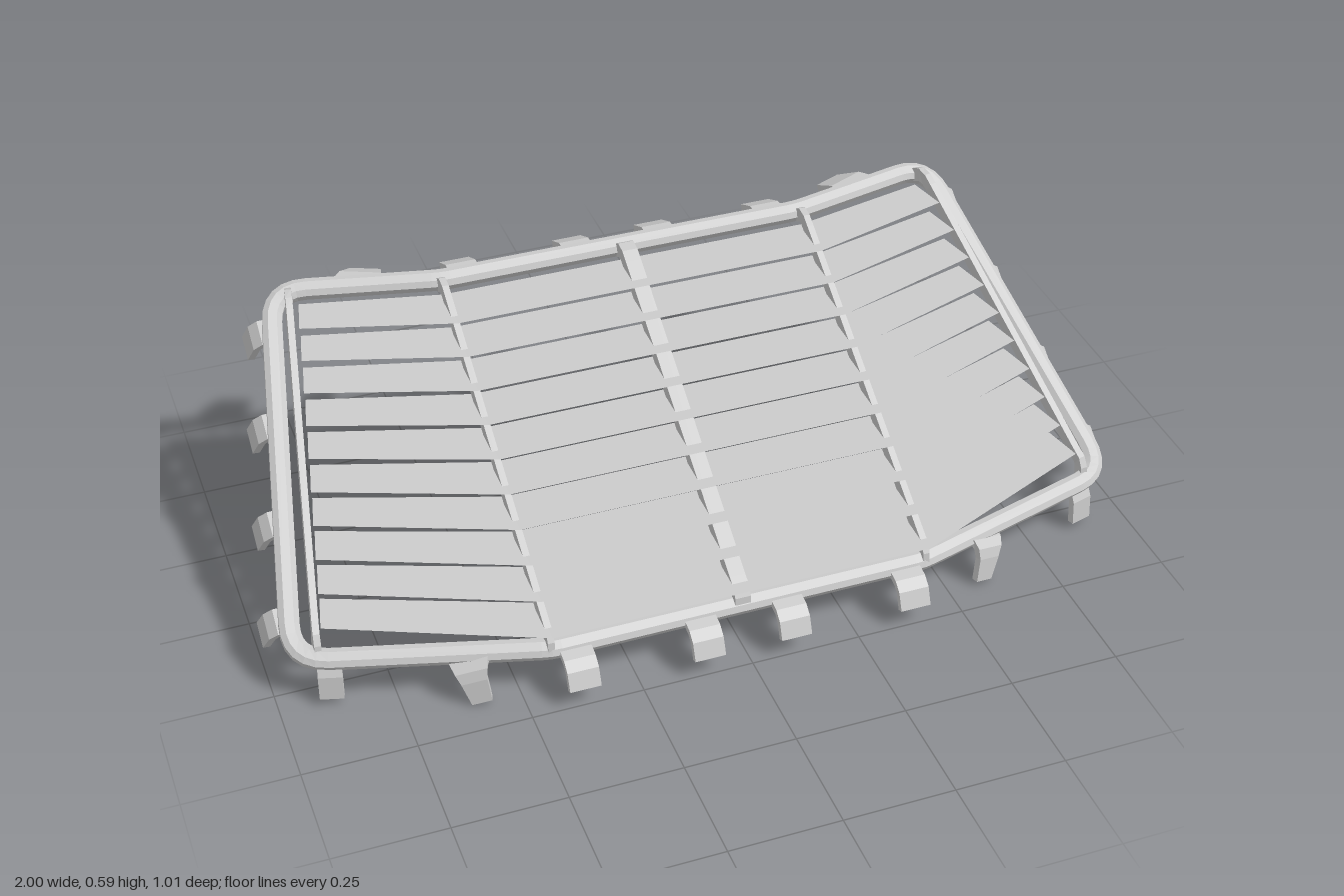
import * as THREE from 'three';

const V = (x, y, z) => new THREE.Vector3(x, y, z);
const material = new THREE.MeshStandardMaterial({ color: 0xcccccc, flatShading: true });
const sheet = new THREE.MeshStandardMaterial({ color: 0xcccccc, flatShading: true, side: THREE.DoubleSide });

// Triangle list to flat-shaded geometry
function fromTriangles(points) {
  const g = new THREE.BufferGeometry().setFromPoints(points);
  g.computeVertexNormals();
  return g;
}

// Sweep a profile (list of [side, up]) along points; sideOf(tangent) gives the sideways axis
function sweep(path, sideOf, profileAt, closed = false) {
  const n = path.length;
  const rings = path.map((p, i) => {
    const a = path[closed ? (i + n - 1) % n : Math.max(i - 1, 0)];
    const b = path[closed ? (i + 1) % n : Math.min(i + 1, n - 1)];
    const t = b.clone().sub(a).normalize();
    const side = sideOf(t).clone();
    side.addScaledVector(t, -side.dot(t)).normalize();
    const up = t.clone().cross(side);
    return profileAt(i / (n - 1)).map(([s, u]) =>
      p.clone().addScaledVector(side, s).addScaledVector(up, u));
  });
  const tri = [];
  const m = rings[0].length;
  for (let i = 0; i < (closed ? n : n - 1); i++) {
    const r = rings[i], q = rings[(i + 1) % n];
    for (let j = 0; j < m; j++) {
      const k = (j + 1) % m;
      tri.push(r[j], r[k], q[k], r[j], q[k], q[j]);
    }
  }
  if (!closed) {
    const r = rings[0], q = rings[n - 1];
    for (let j = 1; j < m - 1; j++) tri.push(r[0], r[j + 1], r[j], q[0], q[j], q[j + 1]);
  }
  return fromTriangles(tri);
}

const rect = (w, h) => [[-w / 2, -h / 2], [w / 2, -h / 2], [w / 2, h / 2], [-w / 2, h / 2]];

// Closed loop with each corner rounded by a short curve
function roundedLoop(corners) {
  const pts = [], n = corners.length;
  corners.forEach(({ p, r }, i) => {
    const toward = (q) => p.clone().add(q.clone().sub(p).setLength(r));
    const curve = new THREE.QuadraticBezierCurve3(
      toward(corners[(i + n - 1) % n].p), p, toward(corners[(i + 1) % n].p));
    pts.push(...curve.getPoints(r > 0.05 ? 6 : 2));
  });
  return pts;
}

export function createModel() {
  const model = new THREE.Group();
  const add = (name, geometry, mat = material) => {
    const mesh = new THREE.Mesh(geometry, mat);
    mesh.name = name;
    model.add(mesh);
  };

  // Outer frame: chamfered tube bent around the sloping outline
  const half = [
    { p: V(0.43, 0.1, 0.42), r: 0.02 },
    { p: V(0.958, 0.1, 0.27), r: 0.08 },
    { p: V(0.8, 0.555, -0.44), r: 0.08 },
    { p: V(0.43, 0.555, -0.355), r: 0.02 },
  ];
  const mirrored = half.map(({ p, r }) => ({ p: V(-p.x, p.y, p.z), r })).reverse();
  const slopeUp = V(0, 0.84, 0.55);
  const a = 0.022, b = 0.019, c = 0.01;
  const octagon = [[a, -c], [a, c], [c, b], [-c, b], [-a, c], [-a, -c], [-c, -b], [c, -b]];
  add('frame', sweep(roundedLoop([...half, ...mirrored]),
    (t) => t.clone().cross(slopeUp), () => octagon, true));

  // Ribs that carry the slats, curling down onto the frame at both ends
  const midRib = [[0.1, 0.422], [0.125, 0.42], [0.139, 0.412], [0.15, 0.392],
    [0.549, -0.28], [0.562, -0.302], [0.565, -0.32], [0.55, -0.345]];
  const endRib = [[0.1, 0.272], [0.13, 0.268], [0.145, 0.26], [0.156, 0.24],
    [0.552, -0.35], [0.564, -0.37], [0.566, -0.39], [0.552, -0.418]];
  const rib = (name, yz, xAt, width) => add(name, sweep(
    yz.map(([y, z]) => V(xAt(z), y, z)), () => V(1, 0, 0), () => rect(width, 0.032)));
  rib('centreRib', midRib, () => 0, 0.036);
  for (const s of [1, -1]) {
    const label = s > 0 ? 'left' : 'right';
    rib(label + 'InnerRib', midRib, () => s * 0.434, 0.015);
    rib(label + 'EndRib', endRib, (z) => s * (0.895 - 0.2 * (0.24 - z)), 0.015);
  }

  // Louvre slats: overlapping level sheets, straight in the middle with swept-back wings
  for (let k = 0; k < 10; k++) {
    const y = 0.155 + 0.0425 * k;
    const row = (midDepth, endDepth) => {
      const zMid = 0.45 - 0.0722 * k - midDepth;
      const zEnd = 0.262 - 0.061 * k - endDepth;
      const xEnd = 0.887 - 0.213 * (0.262 - zEnd);
      return [V(-xEnd, y + 0.008, zEnd), V(-0.434, y, zMid), V(0.434, y, zMid), V(xEnd, y + 0.008, zEnd)];
    };
    const front = row(0, 0), back = row(0.122, 0.095), tri = [];
    for (let i = 0; i < 3; i++) {
      tri.push(front[i], front[i + 1], back[i + 1], front[i], back[i + 1], back[i]);
    }
    add('slat' + (k + 1), fromTriangles(tri), sheet);
  }

  // Clips: bent straps reaching out from the frame; profile is [out, down]
  const clip = (name, p, out, down, profile, w0, w1 = w0) => {
    const side = out.clone().cross(down).normalize();
    add(name, sweep(
      profile.map(([o, d]) => p.clone().addScaledVector(out, o).addScaledVector(down, d)),
      () => side, (f) => rect(w0 + (w1 - w0) * f, 0.016)));
  };
  const down = V(0, -1, 0);
  const slopeDown = slopeUp.clone().negate();
  const frontHook = [[0, 0], [0.045, 0.008], [0.063, 0.022], [0.079, 0.06]];
  const wingHook = [[0, 0.01], [0.02, 0.012], [0.032, 0.024], [0.038, 0.045], [0.042, 0.1]];
  const cornerHook = [[-0.005, 0.01], [0.01, 0.016], [0.018, 0.034], [0.022, 0.09]];
  const backTab = [[0, 0], [0.045, 0.002], [0.102, 0.03]];
  const sideHook = [[0, 0.02], [0.025, 0.022], [0.04, 0.038], [0.051, 0.088]];

  for (const s of [1, -1]) {
    for (const x of [0.1, 0.382]) {
      clip('frontClip', V(s * x, 0.1, 0.42), V(0, 0, 1), down, frontHook, 0.07);
    }
    for (const x of [0.1, 0.37]) {
      clip('backClip', V(s * x, 0.555, -0.355), V(0, 0, -1), down, backTab, 0.07);
    }
    const frontOut = V(s * 0.273, 0, 0.962);
    clip('frontWingClip', V(s * 0.6, 0.1, 0.372), frontOut, V(s * -0.25, -1, 0.07), wingHook, 0.095, 0.045);
    clip('frontCornerClip', V(s * 0.88, 0.1, 0.289), frontOut, down, cornerHook, 0.052);
    clip('backWingClip', V(s * 0.612, 0.555, -0.397), V(s * -0.4, 0, -0.917), down, backTab, 0.12, 0.07);
    for (const z of [0.19, 0.008, -0.18, -0.366]) {
      const t = (0.27 - z) / 0.71;
      clip('sideClip', V(s * (0.958 - 0.158 * t), 0.1 + 0.455 * t, z), V(s, 0, 0), slopeDown, sideHook, 0.058);
    }
  }
  return model;
}
